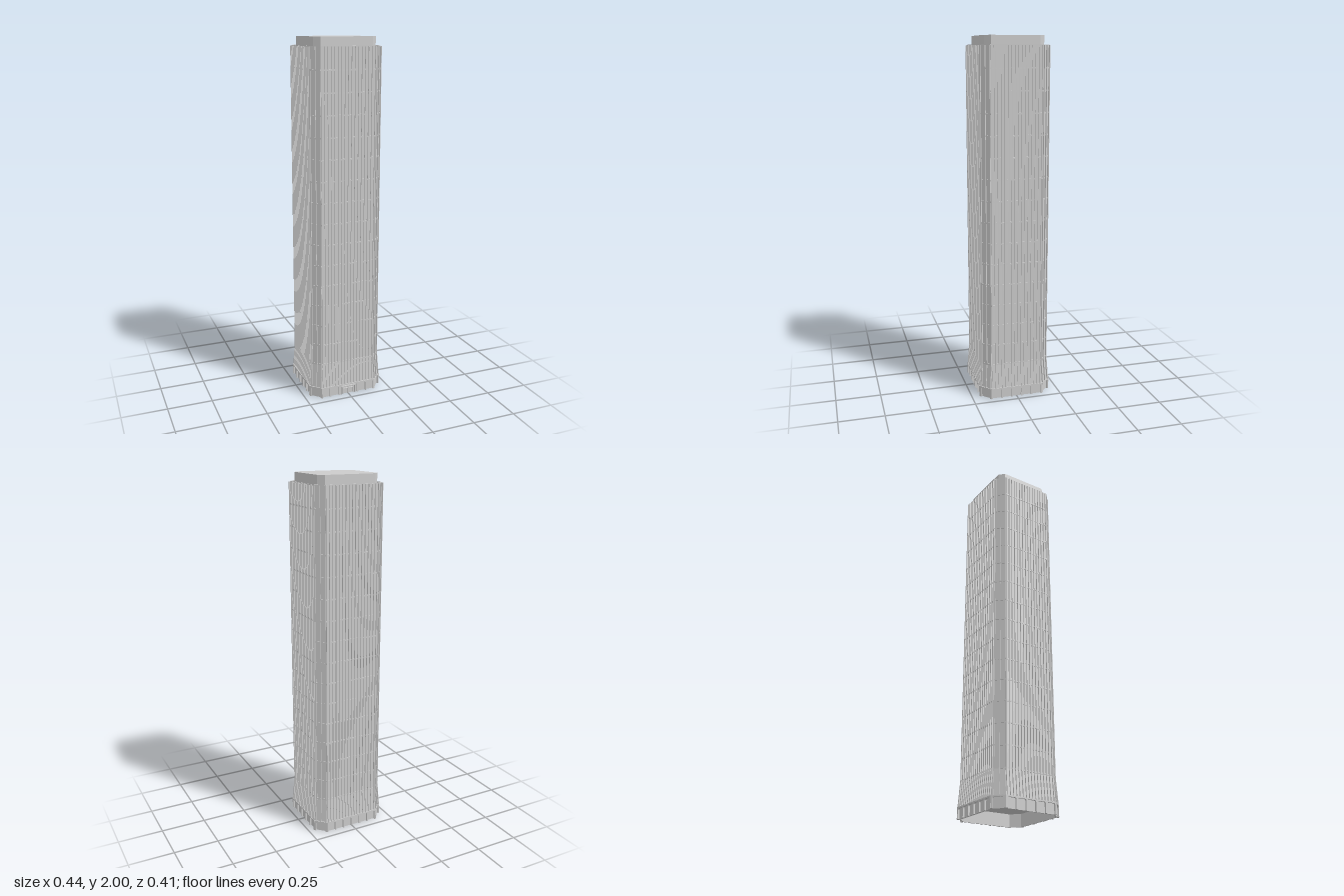
import * as THREE from 'three';
import { mergeGeometries } from 'three/addons/utils/BufferGeometryUtils.js';

const HX = 0.2, HZ = 0.188, CUT = 0.045;   // half width, half depth and corner cut of the shaft
const BASE = 0.06, FLARE = 0.2, EAVE = 1.953;

// Octagon with cut corners, pushed outward by o
function ring(o, y, hx = HX, hz = HZ, cut = CUT) {
  const c = cut + o * (2 - Math.SQRT2), x = hx + o, z = hz + o;
  return [[x, z - c], [x, c - z], [x - c, -z], [c - x, -z], [-x, c - z], [-x, z - c], [c - x, z], [x - c, z]]
    .map(([a, b]) => [a, y, b]);
}

// Skin a stack of rings with flat faces, optionally closing both ends
function loft(rings, capped) {
  const p = [];
  const tri = (a, b, c) => p.push(...a, ...b, ...c);
  for (let k = 0; k < rings.length - 1; k++) {
    const A = rings[k], B = rings[k + 1];
    for (let i = 0; i < 8; i++) {
      const j = (i + 1) % 8;
      tri(A[i], A[j], B[j]);
      tri(A[i], B[j], B[i]);
    }
  }
  if (capped) {
    const first = rings[0], last = rings[rings.length - 1];
    for (let i = 1; i < 7; i++) {
      tri(first[0], first[i + 1], first[i]);
      tri(last[0], last[i], last[i + 1]);
    }
  }
  const g = new THREE.BufferGeometry();
  g.setAttribute('position', new THREE.Float32BufferAttribute(p, 3));
  g.computeVertexNormals();
  return g;
}

// One vertical rib, following the shaft and its flared foot
function ribGeometry() {
  const t = 0.006;
  const s = new THREE.Shape([[-0.001, EAVE - 0.003], [0.007, EAVE - 0.003], [0.007, FLARE],
    [0.0185, BASE], [0.006, BASE], [-0.001, FLARE]].map(([a, b]) => new THREE.Vector2(a, b)));
  return new THREE.ExtrudeGeometry(s, { depth: t, bevelEnabled: false })
    .rotateY(-Math.PI / 2).translate(t / 2, 0, 0);
}

// Row of round-shouldered openings between piers
function arcadeGeometry(half, piers) {
  const top = BASE + 0.002, w = 0.004, r = 0.009, h = 0.055;
  const s = new THREE.Shape();
  s.moveTo(-half, top);
  s.lineTo(-half, 0);
  for (let i = 0; i < piers.length - 1; i++) {
    const a = piers[i] + w, b = piers[i + 1] - w;
    s.lineTo(a, 0);
    s.lineTo(a, h - r);
    s.quadraticCurveTo(a, h, a + r, h);
    s.lineTo(b - r, h);
    s.quadraticCurveTo(b, h, b, h - r);
    s.lineTo(b, 0);
  }
  s.lineTo(half, 0);
  s.lineTo(half, top);
  return new THREE.ExtrudeGeometry(s, { depth: 0.011, bevelEnabled: false, curveSegments: 4 })
    .translate(0, 0, 0.007);
}

export function createModel() {
  const model = new THREE.Group();
  const stone = new THREE.MeshStandardMaterial({ color: 0xcccccc });
  stone.name = 'paleGrey';
  const add = (parent, name, geometry) => {
    const m = new THREE.Mesh(geometry, stone);
    m.name = name;
    parent.add(m);
    return m;
  };

  // Tower wall: hollow foot, flared skirt, straight shaft and low parapet
  const profile = [[0, 0.07], [0, 0], [0.008, 0], [0.008, BASE], [0.012, BASE], [0, FLARE],
    [0, EAVE], [-0.006, EAVE], [-0.006, EAVE - 0.02]];
  add(model, 'towerWall', loft(profile.map(([o, y]) => ring(o, y)), true));

  // Set-back rooftop block
  add(model, 'roofBlock', loft([1.92, 2].map(y => ring(0, y, 0.176, 0.163, 0.03)), true));

  // Thin ledges marking groups of floors
  const ledges = [];
  for (let i = 0; i < 15; i++) {
    const y = FLARE + i * 0.1167;
    ledges.push(loft([[0, -0.004], [0.003, -0.004], [0.003, 0.004], [0, 0.004]]
      .map(([o, d]) => ring(o, y + d)), false));
  }
  add(model, 'floorLedges', mergeGeometries(ledges));

  // The eight faces: centre, turn, half length, ribs and ground floor piers
  const even = (half, n) => Array.from({ length: n + 1 }, (_, i) => half * (2 * i / n - 1));
  const lx = HX - CUT, lz = HZ - CUT, lc = CUT / Math.SQRT2;
  const front = [-0.157, -0.11, -0.055, 0.055, 0.11, 0.157];
  const faces = [
    ['front', 0, HZ, 0, lx, 17, front],
    ['back', 0, -HZ, Math.PI, lx, 17, even(0.157, 6)],
    ['left', HX, 0, Math.PI / 2, lz, 16, even(0.145, 5)],
    ['right', -HX, 0, -Math.PI / 2, lz, 16, even(0.145, 5)],
  ];
  for (const sx of [1, -1]) for (const sz of [1, -1]) {
    const name = (sz > 0 ? 'front' : 'back') + (sx > 0 ? 'Left' : 'Right') + 'Corner';
    faces.push([name, sx * (HX - CUT / 2), sz * (HZ - CUT / 2), Math.atan2(sx, sz), lc, 3, even(0.032, 1)]);
  }
  const rib = ribGeometry();
  for (const [name, x, z, turn, half, count, piers] of faces) {
    const face = new THREE.Group();
    face.name = name + 'Face';
    face.position.set(x, 0, z);
    face.rotation.y = turn;
    const ribs = even(half - 0.003, count - 1).map(px => rib.clone().translate(px, 0, 0));
    add(face, name + 'Ribs', mergeGeometries(ribs));
    add(face, name + 'Arcade', arcadeGeometry(half + 0.007, piers));
    model.add(face);
  }

  // Entrance frame and door posts in the wide middle bay
  const entrance = new THREE.Group();
  entrance.name = 'entrance';
  entrance.position.set(0, 0, HZ + 0.012);
  for (const px of [-0.042, -0.032, 0, 0.032, 0.042]) {
    add(entrance, 'doorPost', new THREE.BoxGeometry(0.004, 0.046, 0.01)).position.set(px, 0.023, 0);
  }
  add(entrance, 'doorLintel', new THREE.BoxGeometry(0.088, 0.006, 0.012)).position.set(0, 0.047, 0);
  add(entrance, 'doorTransom', new THREE.BoxGeometry(0.064, 0.003, 0.008)).position.set(0, 0.034, 0);
  model.add(entrance);

  return model;
}
